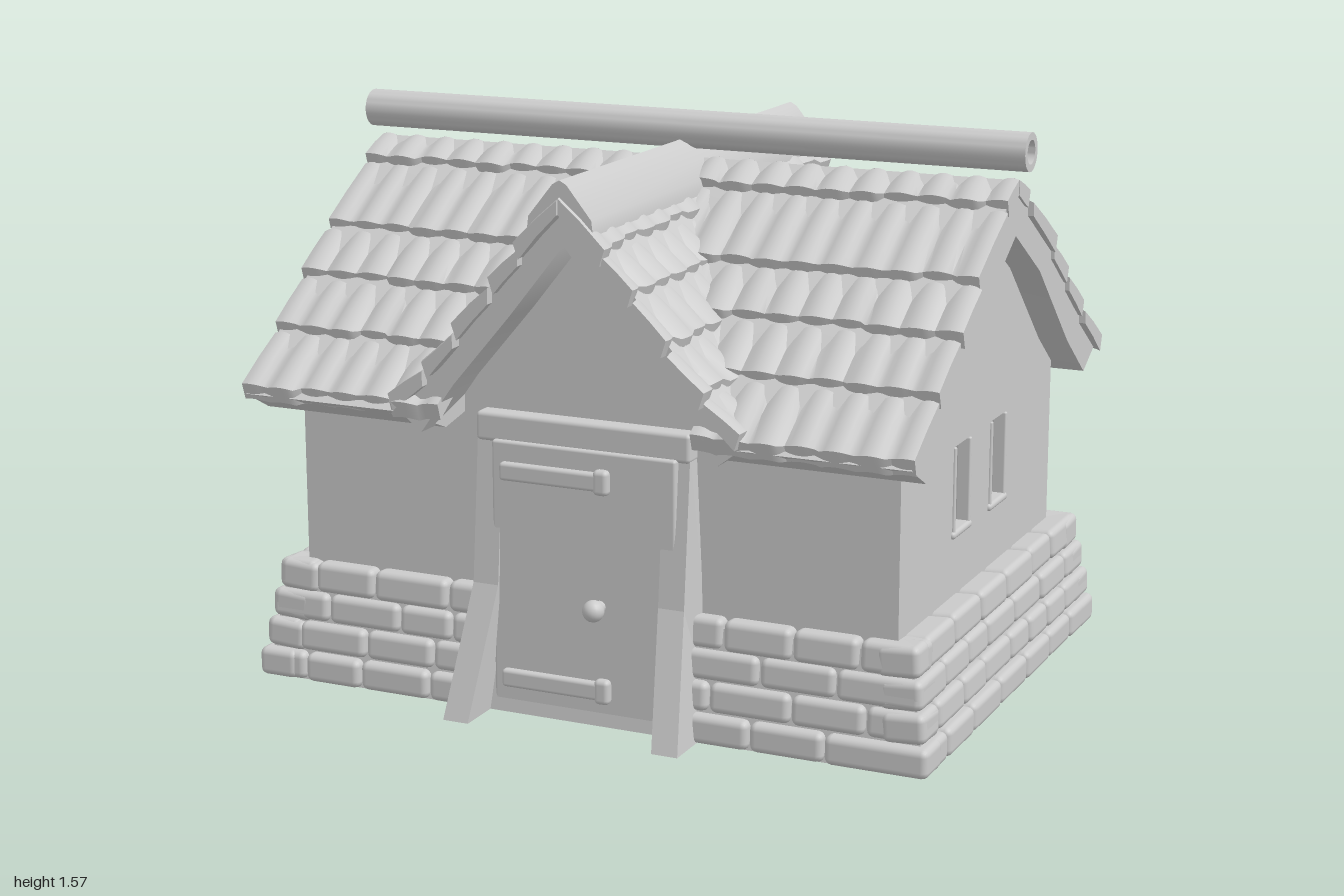
import * as THREE from 'three';
import { toCreasedNormals } from 'three/addons/utils/BufferGeometryUtils.js';
import { RoundedBoxGeometry } from 'three/addons/geometries/RoundedBoxGeometry.js';

const mat = new THREE.MeshStandardMaterial({ color: 0xcccccc });

let seed = 7;
const rand = () => (seed = (seed * 16807) % 2147483647) / 2147483647;

function add(parent, name, geo, x = 0, y = 0, z = 0) {
  const m = new THREE.Mesh(geo, mat);
  m.name = name;
  m.position.set(x, y, z);
  parent.add(m);
  return m;
}

const block = (w, h, d, r = 0.012) => new RoundedBoxGeometry(w, h, d, 2, Math.min(r, w / 2.1, h / 2.1, d / 2.1));
const shapeOf = pts => new THREE.Shape(pts.map(p => new THREE.Vector2(...p)));
const extrude = (shape, depth) => new THREE.ExtrudeGeometry(shape, { depth, bevelEnabled: false, curveSegments: 16 });

function hole(shape, x0, x1, y0, y1) {
  shape.holes.push(new THREE.Path([[x0, y0], [x0, y1], [x1, y1], [x1, y0]].map(p => new THREE.Vector2(...p))));
}

// Skins rings of [x, y, z]; each ring holds n top points going outward, then n bottom points coming back
function loft(rings) {
  const m = rings[0].length, n = m / 2, index = [];
  const quad = (a, b, c, d) => index.push(a, b, c, a, c, d);
  for (let k = 0; k < rings.length - 1; k++) {
    for (let j = 0; j < m; j++) {
      const q = (j + 1) % m;
      quad(k * m + j, k * m + q, (k + 1) * m + q, (k + 1) * m + j);
    }
  }
  const e = (rings.length - 1) * m;
  for (let i = 0; i < n - 1; i++) {
    quad(m - 1 - i, m - 2 - i, i + 1, i);
    quad(e + i, e + i + 1, e + m - 2 - i, e + m - 1 - i);
  }
  const g = new THREE.BufferGeometry();
  g.setAttribute('position', new THREE.Float32BufferAttribute(rings.flat(2), 3));
  g.setIndex(index);
  return toCreasedNormals(g, 0.7);
}

// Height of a roof profile at distance p from its ridge
function heightAt(profile, p) {
  let i = 1;
  while (i < profile.length - 1 && p > profile[i][0]) i++;
  const [a, b] = [profile[i - 1], profile[i]];
  return a[1] + (b[1] - a[1]) * (p - a[0]) / (b[0] - a[0]);
}

// One course of wavy tiles with a raised, uneven lower lip
function tileRow(profile, p0, p1, t0, t1) {
  const pitch = 0.095, steps = Math.round((t1 - t0) / pitch * 6), rings = [];
  const shifts = Array.from({ length: 40 }, () => rand());
  for (let k = 0; k <= steps; k++) {
    const t = t0 + (t1 - t0) * k / steps;
    const w = 0.02 * (Math.abs(Math.cos(Math.PI * t / pitch)) - 0.7);
    const s = shifts[Math.round(t / pitch) + 20];
    const end = p1 + w * 0.7 + (s - 0.5) * 0.02;
    const mid = (p0 + p1) / 2, lift = (s - 0.5) * 0.012;
    const y0 = heightAt(profile, p0) - 0.03, y1 = heightAt(profile, end) + lift;
    const ym = heightAt(profile, mid) - 0.012 + lift / 2;
    rings.push([[t, y0 + w, p0], [t, ym + w, mid], [t, y1 + w, end],
      [t, y1 + w - 0.045, end - 0.015], [t, ym - 0.05, mid], [t, y0 - 0.04, p0]]);
  }
  return loft(rings);
}

const mainTop = [[0, 1.47], [0.32, 1.24], [0.61, 1.0], [0.78, 0.865]];
const mainUnder = [[0, 1.29], [0.22, 1.155], [0.5, 0.9], [0.67, 0.775]];
const crossTop = [[0, 1.475], [0.2, 1.235], [0.38, 1.01], [0.52, 0.88]];
const crossUnder = [[0, 1.32], [0.16, 1.12], [0.33, 0.92], [0.43, 0.78]];
const valley = p => Math.max(0, 0.65 * p - 0.03);

function roofBody(top, under, from, to) {
  const ring = [...top.map(([p, y]) => [p, y - 0.03]), ...[...under].reverse()];
  return loft([from, to].map(f => ring.map(([p, y]) => [f(p), y, p])));
}

function buildRoof() {
  const roof = new THREE.Group();
  roof.name = 'roof';
  for (const turn of [0, Math.PI]) {
    // Main slopes, split around the cross gable
    const slope = new THREE.Group();
    slope.name = 'mainSlope';
    slope.rotation.y = turn;
    slope.position.z = -0.01;
    add(slope, 'roofBody', roofBody(mainTop, mainUnder, valley, () => 0.965));
    add(slope, 'roofBody', roofBody(mainTop, mainUnder, () => -0.965, p => -valley(p)));
    const rows = [0, 0.1, 0.32, 0.46, 0.61, 0.78];
    for (let i = 1; i < rows.length; i++) {
      const t0 = valley(rows[i - 1]), t1 = 0.985 - rand() * 0.015;
      add(slope, 'roofTiles', tileRow(mainTop, rows[i - 1], rows[i], t0, t1));
      add(slope, 'roofTiles', tileRow(mainTop, rows[i - 1], rows[i], -t1, -t0));
    }
    // Cross gable slopes
    const side = new THREE.Group();
    side.name = 'crossSlope';
    side.rotation.y = turn + Math.PI / 2;
    add(side, 'roofBody', roofBody(crossTop, crossUnder, () => -0.75, () => 0.75));
    const cross = [0, 0.12, 0.21, 0.31, 0.41, 0.52];
    for (let i = 1; i < cross.length; i++) {
      const e = 0.775 + rand() * 0.015;
      add(side, 'roofTiles', tileRow(crossTop, cross[i - 1], cross[i], -e, e));
    }
    roof.add(slope, side);
  }
  // Ridge covers
  const tube = new THREE.Shape().absarc(0, 0, 0.053, 0, Math.PI * 2);
  tube.holes.push(new THREE.Path().absarc(0, 0, 0.033, 0, Math.PI * 2, true));
  add(roof, 'ridgeTube', toCreasedNormals(extrude(tube, 2).rotateY(Math.PI / 2), 0.6), -1, 1.517, -0.015);
  const cap = shapeOf([[-0.095, 1.355], [-0.07, 1.35], [0, 1.43], [0.07, 1.35], [0.095, 1.355],
    [0.09, 1.395], [0.02, 1.482], [0, 1.493], [-0.02, 1.482], [-0.09, 1.395]]);
  add(roof, 'crossRidgeCap', toCreasedNormals(extrude(cap, 1.54), 0.7), 0, 0, -0.77);
  return roof;
}

function buildWalls() {
  const walls = new THREE.Group();
  walls.name = 'walls';
  // Front and back walls with the cross gables
  const gable = [[-0.88, 0.28], [0.88, 0.28], [0.88, 0.83], [0.43, 0.83], [0, 1.38], [-0.43, 0.83], [-0.88, 0.83]];
  add(walls, 'frontWall', extrude(shapeOf(gable), 0.06), 0, 0, 0.55);
  const back = shapeOf(gable);
  hole(back, -0.1, 0.1, 0.48, 0.7);
  add(walls, 'backWall', extrude(back, 0.06), 0, 0, -0.635);
  // Side walls with two windows each
  for (const s of [1, -1]) {
    const shape = shapeOf([[-0.634, 0.28], [0.609, 0.28], [0.609, 0.85], [0, 1.38], [-0.634, 0.85]]);
    const windows = [[0.08, 0.2], [-0.22, -0.1]];
    windows.forEach(([a, b]) => hole(shape, a, b, 0.51, 0.75));
    add(walls, 'sideWall', extrude(shape, 0.06).rotateY(-Math.PI / 2), s > 0 ? 0.88 : -0.82);
    for (const [a, b] of windows) {
      const z = (a + b) / 2;
      add(walls, 'windowPane', new THREE.BoxGeometry(0.02, 0.26, 0.14), s * 0.825, 0.63, z);
      add(walls, 'windowSill', block(0.05, 0.022, 0.15), s * 0.865, 0.506, z);
      for (const e of [a, b]) add(walls, 'windowJamb', block(0.04, 0.24, 0.014, 0.005), s * 0.866, 0.63, e);
    }
  }
  // Back window surround
  const panel = shapeOf([[-0.28, 0.3], [0.28, 0.3], [0.28, 0.77], [-0.28, 0.77]]);
  hole(panel, -0.1, 0.1, 0.48, 0.7);
  add(walls, 'backPanel', extrude(panel, 0.03), 0, 0, -0.66);
  add(walls, 'backWindowPane', new THREE.BoxGeometry(0.24, 0.26, 0.02), 0, 0.59, -0.58);
  add(walls, 'backWindowSill', block(0.23, 0.04, 0.06), 0, 0.475, -0.645);
  add(walls, 'backLintel', block(0.62, 0.09, 0.1), 0, 0.79, -0.64);
  return walls;
}

function buildBase() {
  const base = new THREE.Group();
  base.name = 'stoneBase';
  base.position.z = -0.03;
  // Tapered core
  const core = new THREE.BoxGeometry(1.96, 0.31, 1.42).translate(0, 0.155, 0);
  const pos = core.attributes.position;
  for (let i = 0; i < pos.count; i++) {
    if (pos.getY(i) > 0.2) pos.setXYZ(i, pos.getX(i) * 0.95, 0.31, pos.getZ(i) * 0.94);
  }
  core.computeVertexNormals();
  add(base, 'baseCore', core);
  // Four courses of stones on each side, with a gap for the doorway in front
  for (let f = 0; f < 4; f++) {
    const face = new THREE.Group();
    face.name = 'stoneFace';
    face.rotation.y = f * Math.PI / 2;
    base.add(face);
    for (let r = 0; r < 4; r++) {
      const shrink = r * 0.015, y = 0.041 + r * 0.0835;
      const half = (f % 2 ? 0.735 : 1) - shrink, out = (f % 2 ? 1 : 0.735) - shrink;
      const spans = f === 0 ? [[-half, -0.28], [0.28, half]] : [[-half, half]];
      for (const [a, b] of spans) {
        let x = a, first = true;
        while (x < b - 0.01) {
          let w = (0.15 + rand() * 0.09) * (first && r % 2 ? 0.6 : 1);
          if (b - x - w < 0.09) w = b - x;
          const h = r === 3 ? 0.086 : 0.081, d = 0.12;
          const m = add(face, 'stone', block(w - 0.004, h, d, 0.02), x + w / 2, y, out - d / 2 - rand() * 0.008);
          m.rotation.x = r ? -0.06 : 0;
          x += w;
          first = false;
        }
      }
    }
  }
  return base;
}

function buildDoorway() {
  const door = new THREE.Group();
  door.name = 'doorway';
  add(door, 'door', block(0.54, 0.76, 0.09, 0.008), 0.01, 0.38, 0.61 + 0.02);
  // Posts kick forward and outward at the foot
  for (const s of [1, -1]) {
    const geo = extrude(shapeOf([[0.56, 0], [0.81, 0], [0.69, 0.36], [0.65, 0.78], [0.56, 0.78]]), 0.075)
      .rotateY(-Math.PI / 2).translate(s * 0.275 + 0.0375, 0, 0);
    const p = geo.attributes.position;
    for (let i = 0; i < p.count; i++) p.setX(i, p.getX(i) + s * 0.035 * Math.max(0, 1 - p.getY(i) / 0.36));
    geo.computeVertexNormals();
    add(door, 'doorPost', geo);
  }
  add(door, 'lintel', block(0.63, 0.08, 0.12), 0, 0.79, 0.6);
  for (const y of [0.68, 0.1]) {
    add(door, 'hinge', block(0.3, 0.05, 0.03, 0.01), -0.08, y, 0.68);
    add(door, 'hingeEnd', block(0.045, 0.07, 0.035, 0.014), 0.07, y, 0.68);
  }
  add(door, 'knobStem', new THREE.CylinderGeometry(0.014, 0.018, 0.04, 12).rotateX(Math.PI / 2), 0.06, 0.335, 0.69);
  add(door, 'knob', new THREE.SphereGeometry(0.03, 16, 12), 0.06, 0.335, 0.715);
  return door;
}

export function createModel() {
  const house = new THREE.Group();
  house.name = 'cottage';
  house.add(buildBase(), buildWalls(), buildDoorway(), buildRoof());
  return house;
}
